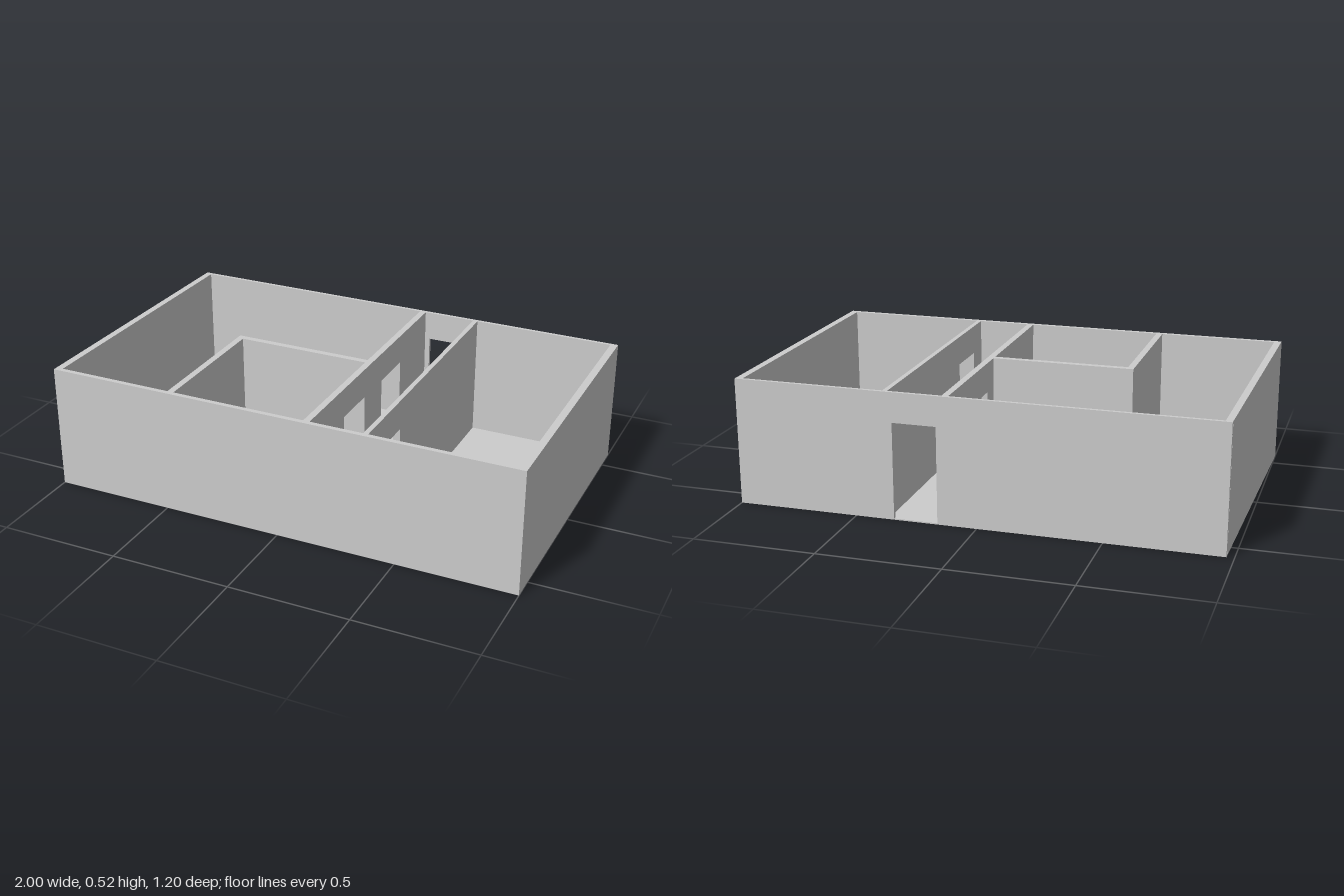
import * as THREE from 'three';

const H = 0.523, FLOOR = 0.005, DOOR = 0.4, Z = 0.598;

export function createModel() {
  const house = new THREE.Group();
  house.name = 'roofless house';
  const material = new THREE.MeshStandardMaterial({ color: 0xcccccc, flatShading: true });

  const add = (name, geometry) => {
    const mesh = new THREE.Mesh(geometry, material);
    mesh.name = name;
    house.add(mesh);
    return mesh;
  };

  // Upright prism over a plan outline of [x, z] corners
  const prism = (name, plan, y0, y1) => {
    const shape = new THREE.Shape(plan.map(([x, z]) => new THREE.Vector2(x, -z)));
    const geometry = new THREE.ExtrudeGeometry(shape, { depth: y1 - y0, bevelEnabled: false });
    geometry.rotateX(-Math.PI / 2).translate(0, y0, 0);
    return add(name, geometry);
  };

  // Wall elevation from a to b with door openings [from, to] cut up from the floor
  const elevation = (a, b, doors, thickness) => {
    const points = [[a, 0]];
    for (const [d0, d1] of doors) points.push([d0, 0], [d0, DOOR], [d1, DOOR], [d1, 0]);
    points.push([b, 0], [b, H], [a, H]);
    const shape = new THREE.Shape(points.map(([u, y]) => new THREE.Vector2(u, y)));
    return new THREE.ExtrudeGeometry(shape, { depth: thickness, bevelEnabled: false });
  };

  const wallAlongX = (name, x0, x1, z0, z1, doors = []) =>
    add(name, elevation(x0, x1, doors, z1 - z0).translate(0, 0, z0));

  // The elevation is drawn along -z, then turned to run front to back
  const wallAlongZ = (name, x0, x1, z0, z1, doors = []) => {
    const flipped = doors.map(([d0, d1]) => [-d1, -d0]).sort((p, q) => p[0] - q[0]);
    add(name, elevation(-z1, -z0, flipped, x1 - x0).rotateY(Math.PI / 2).translate(x0, 0, 0));
  };

  // Floor slab, following the slanted side
  prism('floor', [[-1, Z], [1, Z], [1, -Z], [-0.97, -Z]], 0, FLOOR);

  // Outer walls
  wallAlongX('backWall', -0.97, 1, -Z, -0.584, [[0.16, 0.34]]);
  prism('frontWall', [[-1, Z], [1, Z], [1, 0.578], [-0.9995, 0.578]], 0, H);
  wallAlongZ('leftWall', 0.97, 1, -0.584, 0.578);
  prism('slantedRightWall',
    [[-0.9995, 0.578], [-0.97, 0.578], [-0.943, -0.584], [-0.9704, -0.584]], 0, H);

  // Hallway walls with their doorways
  wallAlongZ('hallRightWall', 0.112, 0.139, -0.584, 0.578, [[-0.3, -0.1], [0.07, 0.27]]);
  wallAlongZ('hallLeftWall', 0.36, 0.38, -0.584, 0.578, [[0.27, 0.47]]);

  // Small front room
  wallAlongX('smallRoomBackWall', -0.48, 0.112, -0.018, 0.008);
  wallAlongZ('smallRoomSideWall', -0.48, -0.453, 0.008, 0.578);

  return house;
}
